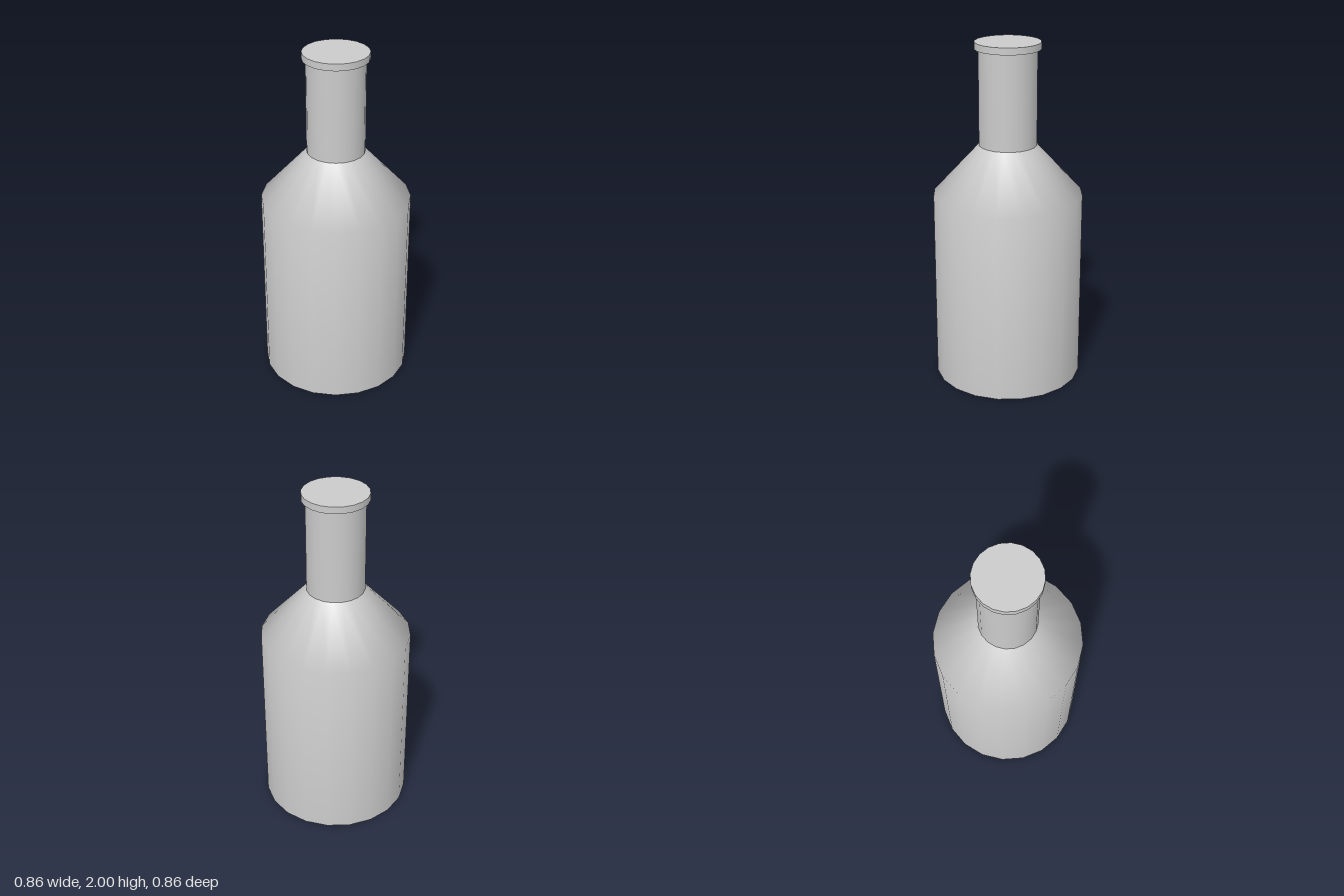
import * as THREE from 'three';

const SIDES = 20;
const BODY_R = 0.432, NECK_R = 0.167, CAP_R = 0.188;
const SHOULDER_Y = 1.12, NECK_Y = 1.41, CAP_Y = 1.96, TOP_Y = 2;

export function createModel() {
  const bottle = new THREE.Group();
  bottle.name = 'bottle';
  const material = new THREE.MeshStandardMaterial({ color: 0xcccccc });

  function add(name, geometry, y = 0) {
    const mesh = new THREE.Mesh(geometry, material);
    mesh.name = name;
    mesh.position.y = y;
    bottle.add(mesh);
    return mesh;
  }

  // Body wall flowing smoothly into the sloped shoulder
  const profile = [[BODY_R, 0], [BODY_R, SHOULDER_Y], [NECK_R, NECK_Y]];
  add('bodyAndShoulder', new THREE.LatheGeometry(profile.map(([r, y]) => new THREE.Vector2(r, y)), SIDES));

  // Flat underside
  add('base', new THREE.CircleGeometry(BODY_R, SIDES).rotateX(Math.PI / 2));

  // Straight neck
  const neckHeight = CAP_Y - NECK_Y;
  add('neck', new THREE.CylinderGeometry(NECK_R, NECK_R, neckHeight, SIDES, 1, true), NECK_Y + neckHeight / 2);

  // Thin cap overhanging the neck
  const capHeight = TOP_Y - CAP_Y;
  add('cap', new THREE.CylinderGeometry(CAP_R, CAP_R, capHeight, SIDES), CAP_Y + capHeight / 2);

  return bottle;
}
